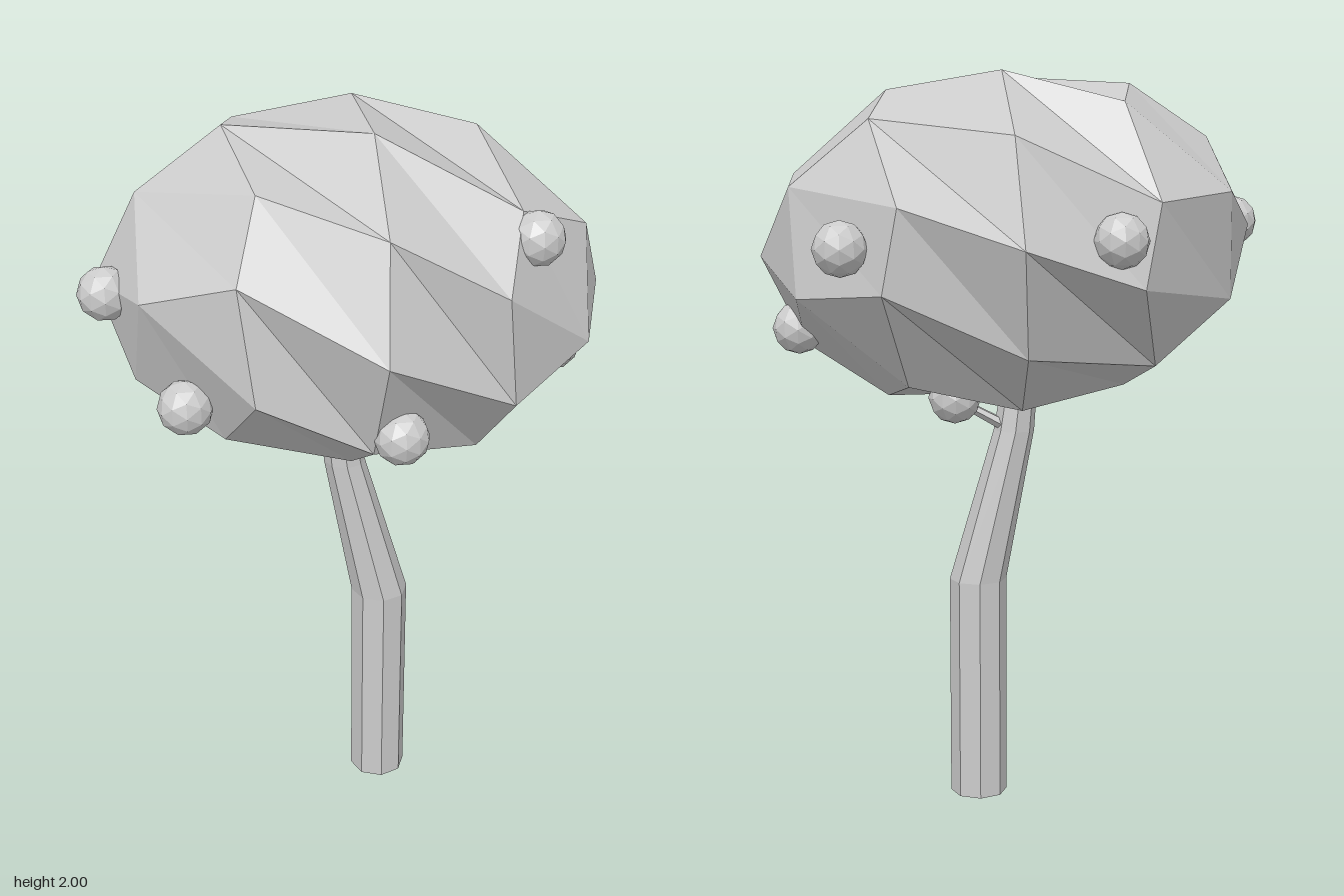
import * as THREE from 'three';

const DEG = Math.PI / 180;
const material = new THREE.MeshStandardMaterial({ color: 0xcccccc, flatShading: true });

function addMesh(parent, name, geometry) {
  geometry.computeVertexNormals();
  const mesh = new THREE.Mesh(geometry, material);
  mesh.name = name;
  parent.add(mesh);
  return mesh;
}

// Faceted ball twisted around its long x axis, then stretched and tilted
function crownGeometry() {
  const geometry = new THREE.IcosahedronGeometry(1, 1);
  // Turn one corner to +x so that it becomes a pole
  geometry.rotateZ(-Math.PI / 2 - Math.atan(2 / (1 + Math.sqrt(5))));
  const p = geometry.attributes.position;
  for (let i = 0; i < p.count; i++) {
    const x = p.getX(i), y = p.getY(i), z = p.getZ(i);
    const angle = Math.atan2(y, z) - 77.4 * DEG * x;
    const r = Math.hypot(y, z);
    p.setXYZ(i, x * 0.66, r * Math.sin(angle) * 0.463, r * Math.cos(angle) * 0.57);
  }
  geometry.rotateZ(-3.5 * DEG);
  geometry.translate(0.02, 1.56, 0);
  return geometry;
}

// Bent tapering stem: each ring is [x, y, z, radius]
function stemGeometry(rings, sides) {
  const last = rings.length - 1;
  const geometry = new THREE.CylinderGeometry(1, 1, last, sides, last).toNonIndexed();
  const p = geometry.attributes.position;
  for (let i = 0; i < p.count; i++) {
    const [x, y, z, r] = rings[Math.round(p.getY(i) + last / 2)];
    p.setXYZ(i, x + p.getX(i) * r, y, z + p.getZ(i) * r);
  }
  return geometry;
}

export function createModel() {
  const tree = new THREE.Group();
  tree.name = 'tree';

  addMesh(tree, 'crown', crownGeometry());

  // Straight lower trunk, leaning and tapering above the bend
  addMesh(tree, 'trunk', stemGeometry([
    [0.1, 0, 0.016, 0.079],
    [0.1, 0.62, 0.016, 0.079],
    [0.0, 1.04, 0.012, 0.056],
    [-0.025, 1.25, 0.012, 0.045],
  ], 8));

  // Small side branch reaching into the crown
  addMesh(tree, 'branch', stemGeometry([
    [0.01, 1.045, 0.01, 0.036],
    [0.13, 1.11, 0.01, 0.026],
    [0.25, 1.18, 0.01, 0.018],
  ], 6));

  // Fruit half sunk into the crown
  const fruits = new THREE.Group();
  fruits.name = 'fruits';
  tree.add(fruits);
  const spots = [
    [0.58, 1.33, -0.025], [0.42, 1.77, 0.325], [0.46, 1.56, -0.41],
    [0.07, 1.335, 0.47], [-0.615, 1.605, 0.11], [-0.44, 1.38, 0.32],
    [-0.22, 1.58, -0.485], [0.17, 1.155, -0.15],
  ];
  spots.forEach(([x, y, z], i) => {
    const fruit = addMesh(fruits, `fruit${i + 1}`, new THREE.IcosahedronGeometry(0.07, 1));
    fruit.position.set(x, y, z);
  });

  return tree;
}
